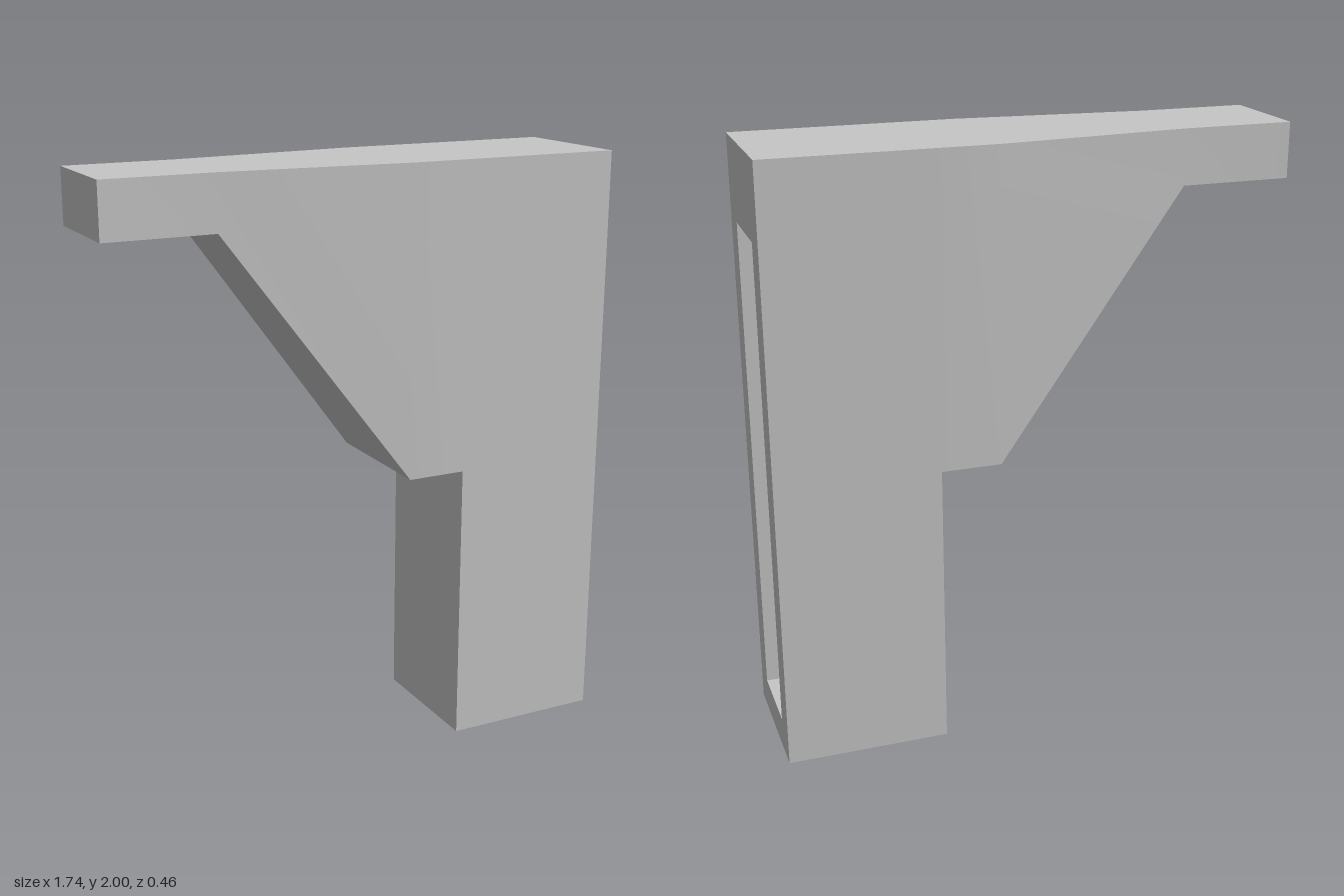
import * as THREE from 'three';
import { toCreasedNormals } from 'three/addons/utils/BufferGeometryUtils.js';

// Cross-sections along x: [x, underside height, half depth]
const SECTIONS = [
  [-0.872, 1.818, 0.177],
  [-0.505, 1.818, 0.177],
  [0.13, 0.967, 0.232],
  [0.33, 0.967, 0.232],
  [0.33, 0, 0.232],
  [0.872, 0, 0.232],
];
const TOP = 2;
const END_X = 0.872;
const END_HALF = 0.232;
const POCKET = { bottom: 0.11, top: 1.737, half: 0.133, depth: 0.44 };

// Geometry with soft shading over the gentle taper and sharp edges elsewhere
function creased(points, index) {
  const geometry = new THREE.BufferGeometry();
  geometry.setAttribute('position', new THREE.Float32BufferAttribute(points.flat(), 3));
  geometry.setIndex(index);
  return toCreasedNormals(geometry, Math.PI / 6);
}

// Tapered shell running from the arm tip to the rear of the post
function bracketShell() {
  const points = [];
  const index = [0, 2, 1, 0, 3, 2]; // arm tip
  SECTIONS.forEach(([x, y, h], i) => {
    points.push([x, y, h], [x, y, -h], [x, TOP, -h], [x, TOP, h]);
    if (i === 0) return;
    const b = i * 4, a = b - 4;
    for (let j = 0; j < 4; j++) {
      const k = (j + 1) % 4;
      index.push(a + j, a + k, b + k, a + j, b + k, b + j);
    }
  });
  return creased(points, index);
}

function rectangle(path, half, bottom, top) {
  path.moveTo(-half, bottom).lineTo(half, bottom).lineTo(half, top).lineTo(-half, top);
  path.closePath();
  return path;
}

// End face of the post with the pocket opening
function endFace() {
  const shape = rectangle(new THREE.Shape(), END_HALF, 0, TOP);
  shape.holes.push(rectangle(new THREE.Path(), POCKET.half, POCKET.bottom, POCKET.top));
  return new THREE.ShapeGeometry(shape).rotateY(Math.PI / 2).translate(END_X, 0, 0);
}

// Inward-facing box without its open +x side
function pocketWalls() {
  const { bottom, top, half, depth } = POCKET;
  const box = new THREE.BoxGeometry(depth, top - bottom, half * 2);
  box.translate(END_X - depth / 2, (top + bottom) / 2, 0);
  box.setIndex(Array.from(box.index.array).slice(6).reverse());
  const geometry = box.toNonIndexed();
  geometry.computeVertexNormals();
  return geometry;
}

export function createModel() {
  const group = new THREE.Group();
  group.name = 'bracket';
  const grey = new THREE.MeshStandardMaterial({ color: 0xc6c6c6 });
  grey.name = 'lightGrey';

  const parts = {
    bracketBody: bracketShell(),
    postEndFace: endFace(),
    pocket: pocketWalls(),
  };
  for (const [name, geometry] of Object.entries(parts)) {
    const mesh = new THREE.Mesh(geometry, grey);
    mesh.name = name;
    group.add(mesh);
  }
  return group;
}
